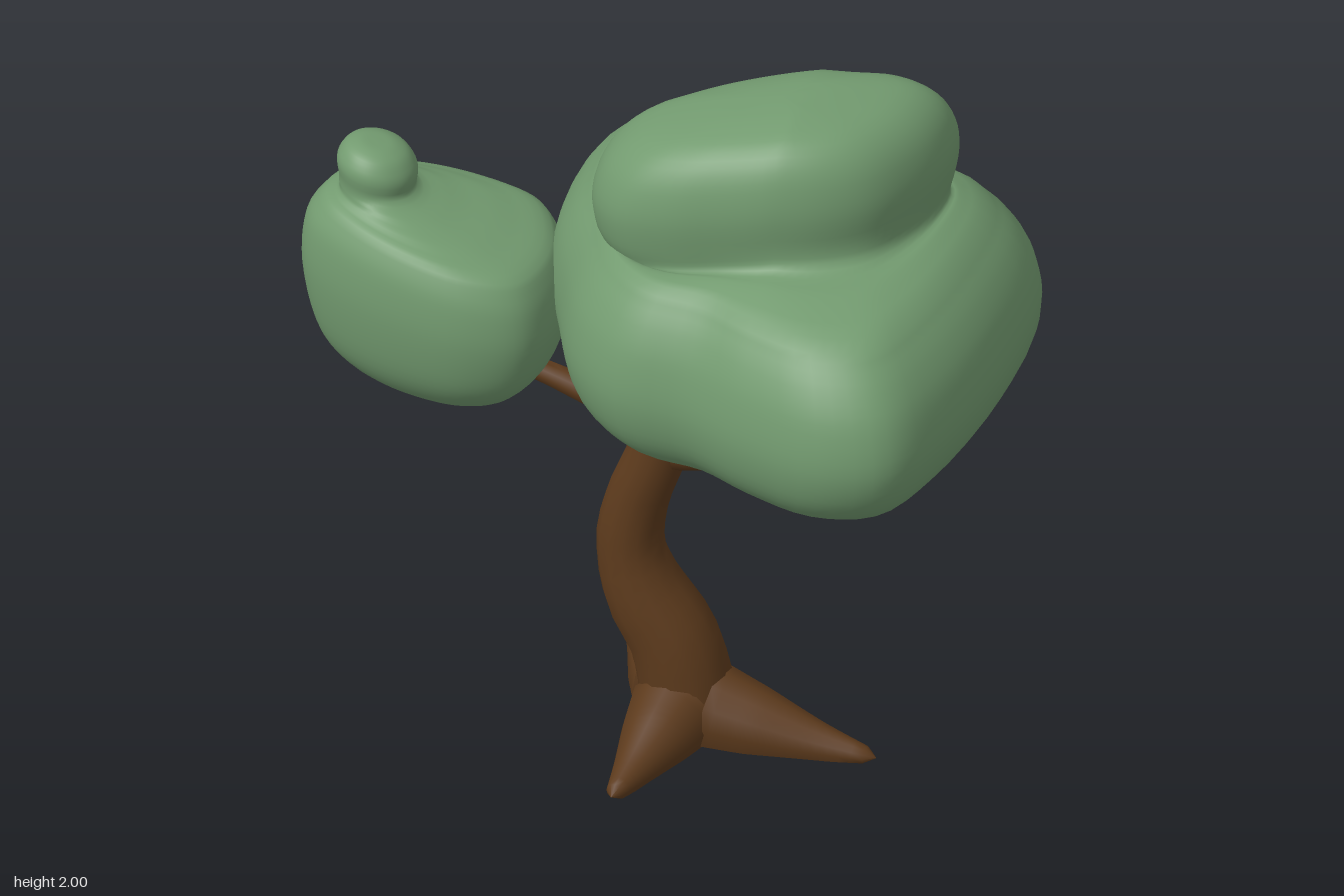
import * as THREE from 'three';
import { mergeVertices, toCreasedNormals } from 'three/addons/utils/BufferGeometryUtils.js';

const bark = new THREE.MeshStandardMaterial({ color: 0x5c3a1c });
const leaf = new THREE.MeshStandardMaterial({ color: 0x739b70 });

// Closed smooth outline in the xz plane, sampled n times
function outline(pts, n) {
  const curve = new THREE.CatmullRomCurve3(pts.map(([x, z]) => new THREE.Vector3(x, 0, z)), true);
  return Array.from({ length: n }, (_, i) => curve.getPoint(i / n));
}

// Foliage: stacked rings [scale, height, mix] that pass from the lower outline to the upper one
function foliage(name, lower, lowerMid, upper, upperMid, rings, tilt) {
  const n = 68, m = 60;
  const a = outline(lower, n), b = outline(upper, n);
  const profile = new THREE.CatmullRomCurve3(rings.map((r) => new THREE.Vector3(...r)));
  const pos = [], idx = [];
  for (let j = 0; j <= m; j++) {
    const p = profile.getPoint(j / m);
    const s = Math.max(0, p.x), mix = THREE.MathUtils.clamp(p.z, 0, 1);
    for (let i = 0; i < n; i++) {
      const at = (q, mid, k) => mid[k] + (q - mid[k]) * s;
      const x = THREE.MathUtils.lerp(at(a[i].x, lowerMid, 0), at(b[i].x, upperMid, 0), mix);
      const z = THREE.MathUtils.lerp(at(a[i].z, lowerMid, 1), at(b[i].z, upperMid, 1), mix);
      pos.push(x, p.y + tilt(x, p.y, mix), z);
      if (j < m) {
        const k = (i + 1) % n, r = j * n, t = r + n;
        idx.push(r + i, t + i, r + k, r + k, t + i, t + k);
      }
    }
  }
  let geo = new THREE.BufferGeometry();
  geo.setAttribute('position', new THREE.Float32BufferAttribute(pos, 3));
  geo.setIndex(idx);
  geo = mergeVertices(geo, 1e-5);
  geo.computeVertexNormals();
  const mesh = new THREE.Mesh(geo, leaf);
  mesh.name = name;
  return mesh;
}

// Tapered limb through [x, y, z, radius] points, with closed ends, kept above the ground
function limb(name, pts, sides = 12, segs = 16) {
  const path = new THREE.CatmullRomCurve3(pts.map(([x, y, z]) => new THREE.Vector3(x, y, z)));
  let geo = new THREE.TubeGeometry(path, segs, 1, sides);
  const pos = geo.attributes.position, v = new THREE.Vector3();
  for (let i = 0; i < pos.count; i++) {
    const ring = Math.floor(i / (sides + 1)), u = ring / segs;
    const c = path.getPointAt(u);
    const f = u * (pts.length - 1), k = Math.min(Math.floor(f), pts.length - 2);
    const end = ring === 0 || ring === segs;
    const r = end ? 0 : THREE.MathUtils.lerp(pts[k][3], pts[k + 1][3], f - k);
    v.fromBufferAttribute(pos, i).sub(c).multiplyScalar(r).add(c);
    pos.setXYZ(i, v.x, Math.max(0.005, v.y), v.z);
  }
  geo.deleteAttribute('uv');
  geo.deleteAttribute('normal');
  geo = toCreasedNormals(mergeVertices(geo, 1e-5), 0.9);
  const mesh = new THREE.Mesh(geo, bark);
  mesh.name = name;
  return mesh;
}

export function createModel() {
  const tree = new THREE.Group();
  tree.name = 'tree';

  // Curved trunk
  tree.add(limb('trunk', [
    [0.075, -0.05, -0.01, 0.13], [0.065, 0.12, -0.01, 0.125], [0.03, 0.26, -0.01, 0.12],
    [-0.05, 0.4, -0.01, 0.11], [-0.085, 0.54, -0.01, 0.09], [-0.065, 0.68, -0.01, 0.083],
    [-0.015, 0.82, -0.01, 0.08], [0.025, 0.96, -0.01, 0.077], [0.04, 1.1, -0.01, 0.075],
  ], 14, 24));

  // Three spreading roots, flat underneath
  const roots = [['leftRoot', 0.59, 0.05], ['frontRoot', -0.02, 0.41], ['backRoot', -0.18, -0.365]];
  for (const [name, x, z] of roots) {
    const at = (t, y, r) => [0.06 + (x - 0.06) * t, y, z * t, r];
    tree.add(limb(name, [at(0.1, 0.075, 0.125), at(0.4, 0.05, 0.095), at(0.7, 0.03, 0.055), at(1, 0.02, 0.018)]));
  }

  // Three bent branches
  tree.add(limb('leftBranch', [[0, 0.84, 0, 0.055], [0.1, 0.855, 0, 0.055], [0.21, 0.885, 0, 0.045], [0.35, 0.97, 0, 0.033], [0.5, 1.06, 0, 0.022]], 10));
  tree.add(limb('rightBranch', [[0.01, 0.82, 0, 0.055], [-0.06, 0.89, 0, 0.045], [-0.12, 0.95, 0, 0.038], [-0.25, 1.005, 0, 0.032], [-0.42, 1.06, 0, 0.028]], 10));
  tree.add(limb('backBranch', [[0.02, 0.83, -0.02, 0.055], [0.03, 0.86, -0.12, 0.045], [0.05, 0.92, -0.26, 0.035], [0.06, 0.95, -0.33, 0.03], [0.08, 1.07, -0.4, 0.022]], 10));

  // Large canopy rising into a slanted crown
  tree.add(foliage('canopy',
    [[-0.33, -0.12], [-0.32, -0.45], [-0.2, -0.61], [0.03, -0.66], [0.32, -0.61], [0.58, -0.52],
      [0.82, -0.46], [0.93, -0.32], [0.94, 0], [0.87, 0.4], [0.78, 0.6], [0.6, 0.65],
      [0.38, 0.58], [0.2, 0.49], [0, 0.45], [-0.15, 0.32], [-0.25, 0.1]], [0.3, -0.03],
    [[-0.16, 0.03], [-0.13, -0.04], [-0.04, -0.1], [0.1, -0.17], [0.3, -0.23], [0.5, -0.26],
      [0.66, -0.28], [0.73, -0.24], [0.73, -0.1], [0.67, 0.06], [0.6, 0.16], [0.5, 0.23],
      [0.38, 0.27], [0.22, 0.285], [0.08, 0.285], [-0.05, 0.25], [-0.14, 0.15]], [0.32, 0],
    [[0, 1, 0], [0.35, 1.005, 0], [0.62, 1.025, 0], [0.82, 1.07, 0], [0.95, 1.16, 0], [1, 1.28, 0],
      [0.97, 1.41, 0], [0.9, 1.5, 0], [0.81, 1.57, 0], [0.82, 1.625, 0.5], [0.92, 1.65, 0.93],
      [0.98, 1.71, 1], [1, 1.8, 1], [0.94, 1.89, 1], [0.78, 1.96, 1], [0.45, 1.995, 1], [0, 2.005, 1]],
    (x, y, mix) => -0.2 * mix * Math.max(0, 0.38 - x)));

  // Small side clump with a knob on top
  const knob = Array.from({ length: 12 }, (_, i) => {
    const t = Math.PI + (i / 12) * Math.PI * 2;
    return [-0.765 + 0.105 * Math.cos(t), -0.02 + 0.105 * Math.sin(t)];
  });
  tree.add(foliage('sideClump',
    [[-0.96, -0.02], [-0.9, -0.17], [-0.74, -0.26], [-0.52, -0.29], [-0.36, -0.26], [-0.28, -0.13],
      [-0.26, 0.03], [-0.31, 0.19], [-0.45, 0.25], [-0.65, 0.23], [-0.83, 0.16], [-0.93, 0.08]], [-0.58, -0.02],
    knob, [-0.765, -0.02],
    [[0, 0.94, 0], [0.4, 0.95, 0], [0.7, 1, 0], [0.91, 1.1, 0], [1, 1.25, 0], [0.97, 1.36, 0],
      [0.87, 1.43, 0], [0.78, 1.46, 0.25], [0.82, 1.48, 0.7], [0.95, 1.51, 1], [1, 1.55, 1],
      [0.85, 1.59, 1], [0.5, 1.615, 1], [0, 1.62, 1]],
    (x, y) => -0.17 * (x + 0.6) * THREE.MathUtils.smoothstep(y, 0.95, 1.4)));

  return tree;
}
